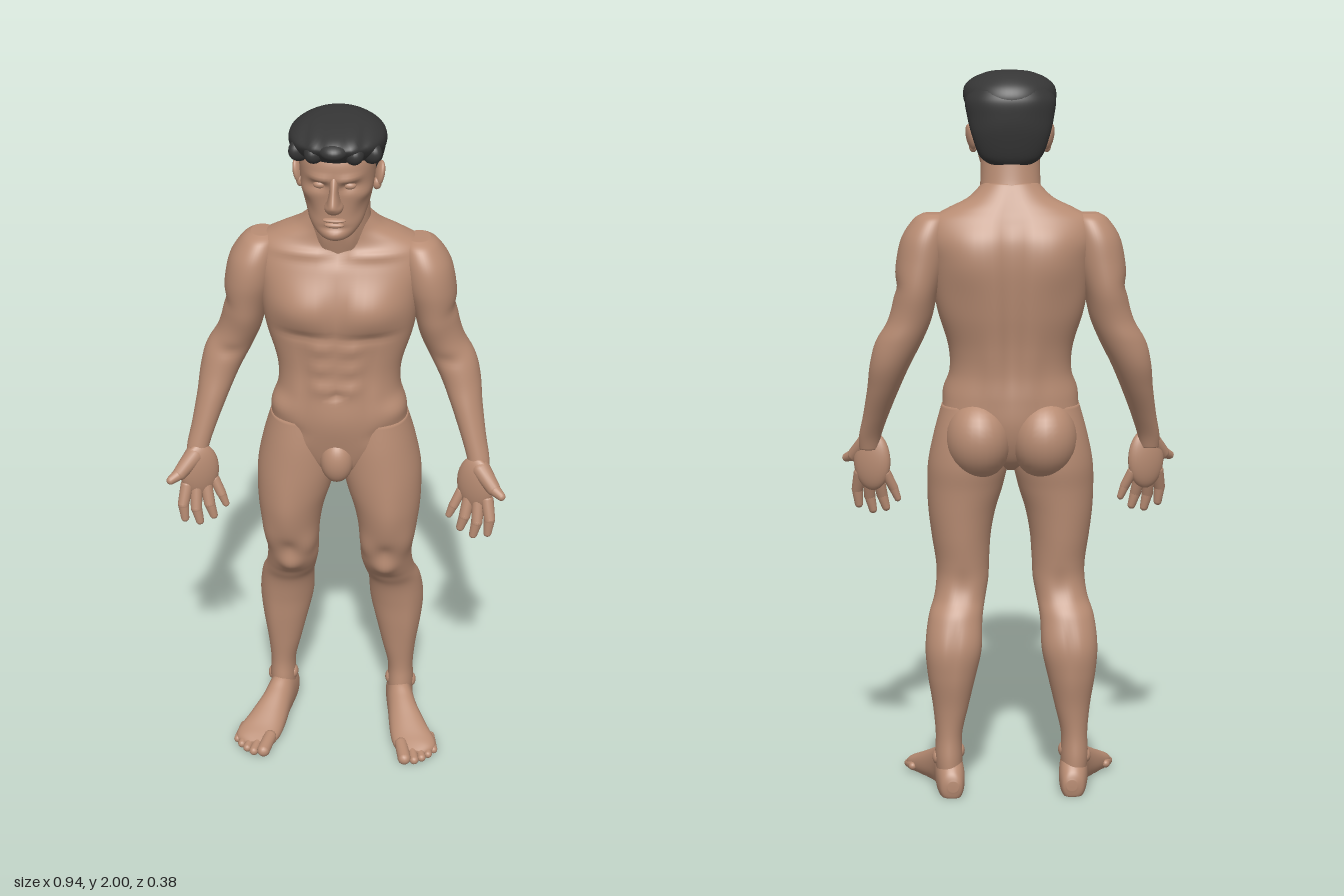
import * as THREE from 'three';
import { mergeVertices } from 'three/addons/utils/BufferGeometryUtils.js';

const skin = new THREE.MeshStandardMaterial({ color: 0xb88c73 });
skin.name = 'skin';
const hair = new THREE.MeshStandardMaterial({ color: 0x363636 });
hair.name = 'hair';

// Smooth loft through horizontal sections [y, xMin, xMax, zBack, zFront], lowest first
function loft(rows, power = 2, sides = 48, steps = 7) {
  const pos = [], index = [], rings = [];
  const at = i => rows[Math.min(Math.max(i, 0), rows.length - 1)];
  for (let i = 0; i < rows.length - 1; i++) {
    for (let s = 0; s < steps + (i === rows.length - 2 ? 1 : 0); s++) {
      const t = s / steps;
      rings.push(rows[i].map((_, k) => {
        const [a, b, c, d] = [at(i - 1)[k], at(i)[k], at(i + 1)[k], at(i + 2)[k]];
        return b + 0.5 * t * (c - a + t * (2 * a - 5 * b + 4 * c - d + t * (3 * (b - c) + d - a)));
      }));
    }
  }
  const bend = v => Math.sign(v) * Math.abs(v) ** (2 / power);
  for (const [y, x0, x1, z0, z1] of rings) {
    for (let j = 0; j < sides; j++) {
      const a = (j / sides) * Math.PI * 2;
      pos.push((x0 + x1) / 2 + bend(Math.cos(a)) * (x1 - x0) / 2, y, (z0 + z1) / 2 + bend(Math.sin(a)) * (z1 - z0) / 2);
    }
  }
  const n = rings.length, low = n * sides;
  for (const [y, x0, x1, z0, z1] of [rings[0], rings[n - 1]]) pos.push((x0 + x1) / 2, y, (z0 + z1) / 2);
  for (let j = 0; j < sides; j++) {
    const k = (j + 1) % sides, top = (n - 1) * sides;
    for (let i = 0; i < n - 1; i++) {
      const p = i * sides + j, q = i * sides + k;
      index.push(p, p + sides, q, q, p + sides, q + sides);
    }
    index.push(low, j, k, low + 1, top + k, top + j);
  }
  const g = new THREE.BufferGeometry();
  g.setAttribute('position', new THREE.Float32BufferAttribute(pos, 3));
  g.setIndex(index);
  g.computeVertexNormals();
  return g;
}

// Same loft, centred on x = 0: [y, halfWidth, zBack, zFront]
const symLoft = (rows, power) => loft(rows.map(([y, w, b, f]) => [y, -w, w, b, f]), power, 64);

// Push the surface in or out by soft bumps [x, y, z, sizeX, sizeY, sizeZ, amount] on both sides
function sculpt(g, bumps) {
  const p = g.attributes.position, nor = g.attributes.normal;
  for (let i = 0; i < p.count; i++) {
    const x = Math.abs(p.getX(i)), y = p.getY(i), z = p.getZ(i);
    let d = 0;
    for (const [bx, by, bz, sx, sy, sz, amount] of bumps)
      d += amount * Math.exp(-(((x - bx) / sx) ** 2) - ((y - by) / sy) ** 2 - ((z - bz) / sz) ** 2);
    p.setXYZ(i, p.getX(i) + nor.getX(i) * d, y + nor.getY(i) * d, z + nor.getZ(i) * d);
  }
  g.computeVertexNormals();
  return g;
}

function blob(center, radii, turnY = 0, turnZ = 0) {
  return new THREE.SphereGeometry(1, 28, 20).scale(...radii).rotateZ(turnZ).rotateY(turnY).translate(...center);
}

// Tapered round-ended segment from a to b
function bone(a, b, r1, r2) {
  const A = new THREE.Vector3(...a), dir = new THREE.Vector3(...b).sub(A), len = dir.length();
  let g = new THREE.SphereGeometry(1, 16, 13);
  g.deleteAttribute('uv');
  g.deleteAttribute('normal');
  g = mergeVertices(g);
  const p = g.attributes.position;
  for (let i = 0; i < p.count; i++) {
    const up = p.getY(i) > 0, r = up ? r2 : r1;
    p.setXYZ(i, p.getX(i) * r, p.getY(i) * r + (up ? len : 0), p.getZ(i) * r);
  }
  g.applyQuaternion(new THREE.Quaternion().setFromUnitVectors(new THREE.Vector3(0, 1, 0), dir.normalize()));
  g.translate(...a);
  g.computeVertexNormals();
  return g;
}

function mirrored(g) {
  const m = g.clone().scale(-1, 1, 1), ix = m.index.array;
  for (let i = 0; i < ix.length; i += 3) [ix[i], ix[i + 1]] = [ix[i + 1], ix[i]];
  m.computeVertexNormals();
  return m;
}

export function createModel() {
  const model = new THREE.Group();
  model.name = 'standingFigure';
  const add = (name, g, material = skin) => {
    const mesh = new THREE.Mesh(g, material);
    mesh.name = name;
    model.add(mesh);
  };
  const pair = (name, g, material = skin) => {
    add('left' + name, g, material);
    add('right' + name, mirrored(g), material);
  };

  // Torso with chest, belly and back muscles
  add('torso', sculpt(symLoft([
    [0.905, 0.02, -0.05, 0.03], [0.93, 0.06, -0.1, 0.06], [0.98, 0.15, -0.13, 0.075], [1.04, 0.188, -0.145, 0.085],
    [1.11, 0.184, -0.145, 0.09], [1.18, 0.168, -0.14, 0.088], [1.25, 0.17, -0.148, 0.083], [1.34, 0.192, -0.168, 0.085],
    [1.42, 0.207, -0.178, 0.092], [1.49, 0.22, -0.18, 0.082], [1.55, 0.232, -0.172, 0.06], [1.6, 0.222, -0.15, 0.035],
    [1.63, 0.175, -0.135, 0.025], [1.66, 0.115, -0.12, 0.025], [1.7, 0.075, -0.1, 0.03],
  ], 2.3), [
    [0.09, 1.45, 0.09, 0.085, 0.06, 0.06, 0.021], [0, 1.45, 0.1, 0.014, 0.08, 0.06, -0.01],
    [0.1, 1.368, 0.1, 0.09, 0.014, 0.05, -0.009],
    ...[1.335, 1.275, 1.215].map(y => [0.038, y, 0.09, 0.026, 0.023, 0.04, 0.009]),
    [0, 1.11, 0.095, 0.08, 0.08, 0.03, 0.009], [0, 1.193, 0.095, 0.012, 0.01, 0.04, -0.012],
    [0.09, 1.25, 0.08, 0.014, 0.1, 0.05, -0.006], [0.16, 1.13, 0.03, 0.04, 0.035, 0.07, 0.012],
    [0.13, 1.06, 0.07, 0.04, 0.025, 0.04, -0.009], [0.18, 1.4, -0.04, 0.04, 0.09, 0.08, 0.008],
    [0, 1.38, -0.17, 0.024, 0.24, 0.06, -0.02], [0.11, 1.5, -0.17, 0.07, 0.09, 0.05, 0.013],
    [0.05, 1.2, -0.14, 0.028, 0.1, 0.04, 0.008], [0.1, 1.595, 0.04, 0.08, 0.012, 0.05, 0.007],
    [0, 1.6, 0.04, 0.02, 0.025, 0.04, -0.01],
  ]));
  add('groin', blob([0, 0.975, 0.062], [0.046, 0.067, 0.043]));
  pair('Buttock', blob([0.09, 1.0, -0.083], [0.092, 0.112, 0.105]));

  // Neck
  add('neck', sculpt(symLoft([
    [1.57, 0.09, -0.12, 0.02], [1.64, 0.087, -0.12, 0.038], [1.7, 0.082, -0.1, 0.048], [1.78, 0.08, -0.085, 0.06],
  ]), [[0.035, 1.64, 0.04, 0.015, 0.06, 0.04, 0.007], [0, 1.69, 0.05, 0.015, 0.02, 0.03, 0.007]]));

  // Head with brow, sockets, cheeks and jaw
  add('head', sculpt(symLoft([
    [1.683, 0.022, 0.07, 0.11], [1.692, 0.045, 0.03, 0.126], [1.72, 0.069, -0.02, 0.132], [1.76, 0.084, -0.06, 0.132],
    [1.81, 0.094, -0.085, 0.135], [1.86, 0.099, -0.098, 0.144], [1.91, 0.1, -0.1, 0.142], [1.95, 0.085, -0.085, 0.115],
    [1.975, 0.04, -0.04, 0.07],
  ], 2.25), [
    [0.04, 1.842, 0.13, 0.022, 0.014, 0.04, -0.015], [0.035, 1.868, 0.14, 0.03, 0.011, 0.04, 0.008],
    [0.07, 1.815, 0.09, 0.022, 0.02, 0.04, 0.007], [0.065, 1.765, 0.09, 0.025, 0.03, 0.04, -0.006],
    [0, 1.703, 0.13, 0.025, 0.018, 0.04, 0.008], [0, 1.722, 0.13, 0.03, 0.008, 0.04, -0.007],
  ]));
  add('nose', symLoft([
    [1.772, 0.012, 0.1, 0.145], [1.78, 0.022, 0.1, 0.168], [1.793, 0.024, 0.1, 0.18], [1.808, 0.017, 0.1, 0.184],
    [1.835, 0.012, 0.1, 0.169], [1.865, 0.012, 0.1, 0.152], [1.88, 0.008, 0.1, 0.14],
  ]));
  add('upperLip', blob([0, 1.748, 0.131], [0.031, 0.0065, 0.012]));
  add('lowerLip', blob([0, 1.734, 0.131], [0.026, 0.008, 0.01]));
  pair('Eyelid', blob([0.038, 1.843, 0.117], [0.018, 0.011, 0.013]));
  pair('Ear', blob([0.107, 1.82, -0.008], [0.011, 0.036, 0.023], 0.35, -0.2));
  pair('EarLobe', blob([0.1, 1.795, 0.0], [0.012, 0.017, 0.012]));

  // Short hair: back and sides, swept crown, front tufts
  add('hairBack', symLoft([
    [1.745, 0.045, -0.085, -0.04], [1.77, 0.083, -0.1, -0.025], [1.83, 0.106, -0.115, -0.01],
    [1.88, 0.118, -0.122, 0.04], [1.92, 0.123, -0.123, 0.08], [1.95, 0.11, -0.11, 0.09],
  ], 2.2), hair);
  add('hairCrown', sculpt(symLoft([
    [1.89, 0.108, -0.11, 0.09], [1.91, 0.122, -0.121, 0.135], [1.935, 0.127, -0.12, 0.165], [1.96, 0.12, -0.105, 0.178],
    [1.982, 0.092, -0.075, 0.155], [1.995, 0.055, -0.04, 0.105], [1.999, 0.012, 0.01, 0.05],
  ], 2.1), [
    [0.035, 1.96, 0.16, 0.014, 0.04, 0.06, -0.006], [0.075, 1.96, 0.12, 0.014, 0.04, 0.06, -0.006],
  ]), hair);
  add('frontTuft', blob([0, 1.953, 0.145], [0.04, 0.025, 0.043]), hair);
  pair('InnerTuft', blob([0.05, 1.938, 0.132], [0.026, 0.028, 0.034], 0.3), hair);
  pair('OuterTuft', blob([0.088, 1.928, 0.09], [0.025, 0.032, 0.04], 0.7), hair);

  // Arms from shoulder to wrist
  pair('Arm', sculpt(loft([
    [1.618, 0.18, 0.24, -0.09, -0.02], [1.6, 0.165, 0.266, -0.115, 0.01], [1.55, 0.165, 0.298, -0.135, 0.035],
    [1.48, 0.175, 0.313, -0.14, 0.04], [1.4, 0.2, 0.318, -0.135, 0.022], [1.33, 0.217, 0.335, -0.13, 0.01],
    [1.27, 0.242, 0.364, -0.125, 0.006], [1.2, 0.277, 0.386, -0.108, 0.015], [1.13, 0.307, 0.395, -0.075, 0.033],
    [1.05, 0.338, 0.408, -0.028, 0.052], [0.99, 0.358, 0.42, 0.005, 0.066], [0.95, 0.365, 0.42, 0.02, 0.075],
  ].reverse()), [
    [0.25, 1.38, 0.02, 0.04, 0.06, 0.05, 0.009], [0.31, 1.42, -0.05, 0.03, 0.02, 0.06, -0.006],
    [0.26, 1.41, -0.13, 0.05, 0.06, 0.04, 0.008], [0.36, 1.25, -0.04, 0.03, 0.05, 0.05, 0.006],
    [0.3, 1.27, 0.0, 0.03, 0.02, 0.03, -0.006],
  ]));

  // Open hands, palms forward, thumbs outward
  pair('Palm', blob([0.385, 0.915, 0.055], [0.056, 0.085, 0.027], -0.45));
  pair('ThumbBase', bone([0.4, 0.965, 0.06], [0.434, 0.925, 0.09], 0.027, 0.02));
  pair('ThumbTip', bone([0.434, 0.925, 0.09], [0.458, 0.913, 0.112], 0.019, 0.012));
  const fingers = [
    [[0.42, 0.875, 0.075], [0.428, 0.825, 0.094], [0.424, 0.782, 0.098]],
    [[0.395, 0.865, 0.066], [0.393, 0.808, 0.085], [0.384, 0.768, 0.088]],
    [[0.368, 0.865, 0.054], [0.358, 0.815, 0.068], [0.347, 0.778, 0.07]],
    [[0.345, 0.878, 0.042], [0.326, 0.838, 0.05], [0.314, 0.807, 0.052]],
  ];
  fingers.forEach(([a, b, c], i) => {
    const r = i === 3 ? 0.0135 : 0.016;
    pair('FingerBase' + (i + 1), bone(a, b, r * 1.1, r));
    pair('FingerTip' + (i + 1), bone(b, c, r, r * 0.72));
  });

  // Legs from hip to ankle
  pair('Leg', sculpt(loft([
    [0.03, 0.14, 0.205, -0.165, -0.06], [0.1, 0.138, 0.214, -0.165, -0.05], [0.17, 0.138, 0.212, -0.158, -0.058],
    [0.25, 0.12, 0.219, -0.163, -0.052], [0.34, 0.1, 0.233, -0.178, -0.043], [0.42, 0.088, 0.239, -0.181, -0.035],
    [0.5, 0.08, 0.23, -0.155, -0.018], [0.55, 0.071, 0.214, -0.128, 0.015], [0.6, 0.062, 0.207, -0.115, 0.042],
    [0.65, 0.06, 0.208, -0.115, 0.058], [0.72, 0.055, 0.219, -0.122, 0.078], [0.79, 0.042, 0.228, -0.128, 0.088],
    [0.86, 0.021, 0.231, -0.135, 0.09], [0.93, 0.007, 0.228, -0.145, 0.088], [1.01, 0.01, 0.212, -0.14, 0.082],
    [1.09, 0.03, 0.19, -0.12, 0.07],
  ]), [
    [0.135, 0.605, 0.05, 0.03, 0.03, 0.03, 0.012], [0.085, 0.675, 0.04, 0.03, 0.045, 0.04, 0.009],
    [0.19, 0.69, 0.04, 0.03, 0.06, 0.05, 0.008], [0.135, 0.665, 0.07, 0.025, 0.03, 0.03, -0.009],
    [0.135, 0.545, 0.02, 0.05, 0.02, 0.03, -0.005], [0.145, 0.8, 0.09, 0.035, 0.1, 0.04, 0.006],
    [0.1, 0.42, -0.13, 0.03, 0.06, 0.05, 0.007], [0.16, 0.42, -0.18, 0.012, 0.08, 0.03, -0.006],
    [0.135, 0.58, -0.11, 0.025, 0.05, 0.03, -0.008], [0.2, 0.32, -0.06, 0.02, 0.12, 0.04, 0.005],
  ]));
  pair('InnerAnkle', blob([0.144, 0.115, -0.1], [0.013, 0.02, 0.02]));
  pair('OuterAnkle', blob([0.209, 0.1, -0.11], [0.013, 0.02, 0.02]));

  // Feet: lofted from heel to toes, laid down and flattened on the ground
  const foot = loft([
    [-0.184, 0.15, 0.18, 0.02, 0.05], [-0.172, 0.138, 0.2, -0.01, 0.075], [-0.13, 0.132, 0.212, -0.02, 0.11],
    [-0.07, 0.138, 0.218, -0.015, 0.125], [-0.02, 0.146, 0.235, -0.008, 0.105], [0.04, 0.155, 0.268, -0.012, 0.075],
    [0.085, 0.165, 0.293, -0.012, 0.053], [0.115, 0.178, 0.29, -0.008, 0.04], [0.14, 0.19, 0.26, 0.002, 0.028],
  ], 2.2);
  const fp = foot.attributes.position;
  for (let i = 0; i < fp.count; i++) fp.setXYZ(i, fp.getX(i), Math.max(fp.getZ(i), 0), fp.getY(i));
  const fi = foot.index.array;
  for (let i = 0; i < fi.length; i += 3) [fi[i], fi[i + 1]] = [fi[i + 1], fi[i]];
  foot.computeVertexNormals();
  pair('Foot', foot);
  [[0.207, 0.166, 0.019], [0.236, 0.164, 0.0135], [0.257, 0.15, 0.0125], [0.275, 0.132, 0.012], [0.29, 0.109, 0.0115]]
    .forEach(([x, z, r], i) => pair('Toe' + (i + 1), bone([x - 0.012, r + 0.008, z - 0.055], [x, r, z], r, r)));

  return model;
}
